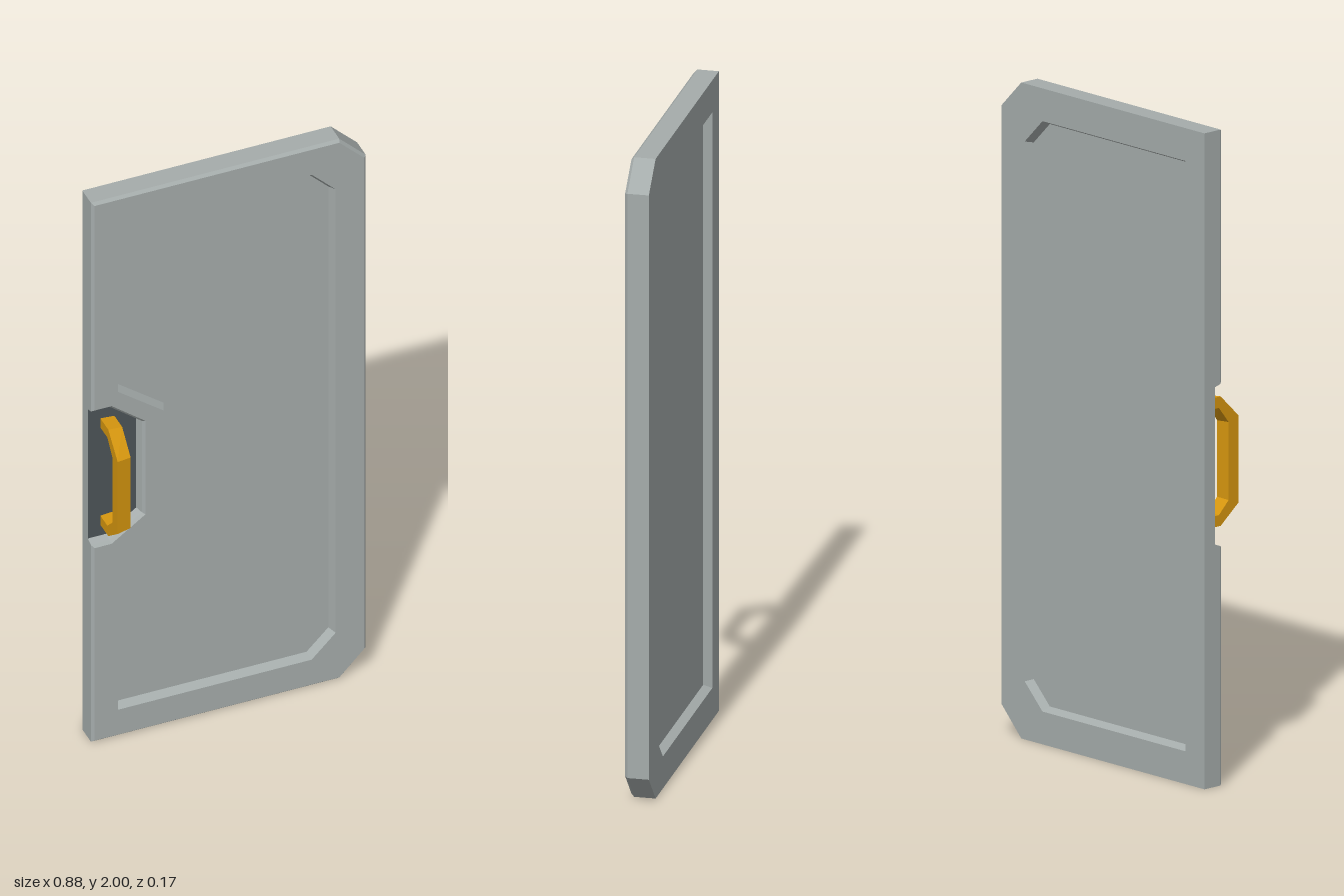
import * as THREE from 'three';

const mat = (name, color) => {
  const m = new THREE.MeshStandardMaterial({ color });
  m.name = name;
  return m;
};

// Offset a counter-clockwise outline inwards by d, with mitred corners
function inset(points, d) {
  const n = points.length;
  return points.map(([x, y], i) => {
    const [px, py] = points[(i + n - 1) % n], [qx, qy] = points[(i + 1) % n];
    const a = new THREE.Vector2(py - y, x - px).normalize();
    const b = new THREE.Vector2(y - qy, qx - x).normalize();
    const k = d / (1 + a.dot(b));
    return [x + (a.x + b.x) * k, y + (a.y + b.y) * k];
  });
}

// Flat-shaded wall joining a front outline to a back outline
function wall(front, zf, back, zb) {
  const pos = [];
  front.forEach((a, i) => {
    const j = (i + 1) % front.length;
    const A = [...a, zf], B = [...back[i], zb], C = [...back[j], zb], D = [...front[j], zf];
    pos.push(...A, ...B, ...C, ...A, ...C, ...D);
  });
  const g = new THREE.BufferGeometry();
  g.setAttribute('position', new THREE.Float32BufferAttribute(pos, 3));
  g.computeVertexNormals();
  return g;
}

// Flat plate facing forwards, or backwards when back is true
function face(points, z, hole, back = false) {
  const s = back ? -1 : 1;
  const vec = (list) => list.map(([x, y]) => new THREE.Vector2(x * s, y));
  const shape = new THREE.Shape(vec(points));
  if (hole) shape.holes.push(new THREE.Path(vec(hole)));
  const g = new THREE.ShapeGeometry(shape);
  if (back) g.rotateY(Math.PI);
  return g.translate(0, 0, z);
}

export function createModel() {
  const group = new THREE.Group();
  const grey = mat('door grey', 0xa5acab);
  const dark = mat('recess dark grey', 0x4d5458);
  const gold = mat('handle gold', 0xd6960f);
  const add = (name, geometry, material) => {
    const m = new THREE.Mesh(geometry, material);
    m.name = name;
    group.add(m);
  };

  const zFront = -0.013, zRim = -0.022, zPocket = -0.045, zBack = -0.087;
  const zPanel = -0.04, zBackPanel = -0.062;

  // Outlines: door with two cut corners, and the handle pocket in its left edge
  const door = [[-0.44, 0], [0.355, 0], [0.44, 0.088], [0.44, 1.915], [0.355, 2], [-0.44, 2]];
  const pocket = [[-0.44, 1.225], [-0.38, 1.225], [-0.277, 1.142], [-0.277, 0.803], [-0.38, 0.73], [-0.44, 0.73]];
  const pocketFloor = [[-0.44, 1.218], [-0.383, 1.218], [-0.285, 1.138], [-0.285, 0.807], [-0.383, 0.738], [-0.44, 0.738]];
  const notched = [...door, ...pocket];
  const frontOutline = inset(notched, 0.008);

  // Front panel steps around the pocket; the back panel is plain
  const corners = [[-0.357, 0.1], [0.263, 0.1], [0.34, 0.177], [0.34, 1.823], [0.263, 1.9], [-0.357, 1.9]];
  const panel = [...corners, [-0.357, 1.28], [-0.212, 1.168], [-0.212, 0.77], [-0.357, 0.665]];
  const recess = (outline, z0, z1, back) => {
    const floor = inset(outline, 0.012);
    const name = back ? 'backPanel' : 'frontPanel';
    add(name, face(floor, z1, null, back), grey);
    const a = [...outline].reverse(), b = [...floor].reverse();
    add(name + 'Edge', back ? wall(b, z1, a, z0) : wall(a, z0, b, z1), grey);
  };

  // Door body
  add('frontFrame', face(frontOutline, zFront, panel), grey);
  add('frontBevel', wall(frontOutline, zFront, notched, zRim), grey);
  add('frontSides', wall(notched, zRim, [...door, ...pocketFloor], zPocket), grey);
  add('backSides', wall(door, zPocket, door, zBack), grey);
  add('backFrame', face(door, zBack, corners, true), grey);
  recess(panel, zFront, zPanel, false);
  recess(corners, zBack, zBackPanel, true);
  add('handlePocket', face(pocketFloor, zPocket), dark);

  // Angular pull handle, drawn as depth against height and tapered towards the middle of the door
  const outer = [[-0.045, 1.172], [0.015, 1.172], [0.086, 1.102], [0.086, 0.835], [0.015, 0.777], [-0.045, 0.777]];
  const inner = [[-0.045, 0.811], [0.008, 0.811], [0.047, 0.85], [0.047, 1.088], [0.008, 1.138], [-0.045, 1.138]];
  const profile = new THREE.Shape([...outer, ...inner].map(([z, y]) => new THREE.Vector2(z, y)));
  const handle = new THREE.ExtrudeGeometry(profile, { depth: 0.045, bevelEnabled: false });
  handle.rotateY(-Math.PI / 2).translate(-0.355, 0, 0);
  const p = handle.attributes.position;
  for (let i = 0; i < p.count; i++) {
    if (p.getX(i) < -0.38) continue;
    p.setY(i, 0.975 + (p.getY(i) - 0.975) * 0.98);
    if (p.getZ(i) > 0) p.setZ(i, p.getZ(i) * 0.9);
  }
  handle.computeVertexNormals();
  add('handle', handle, gold);
  return group;
}
